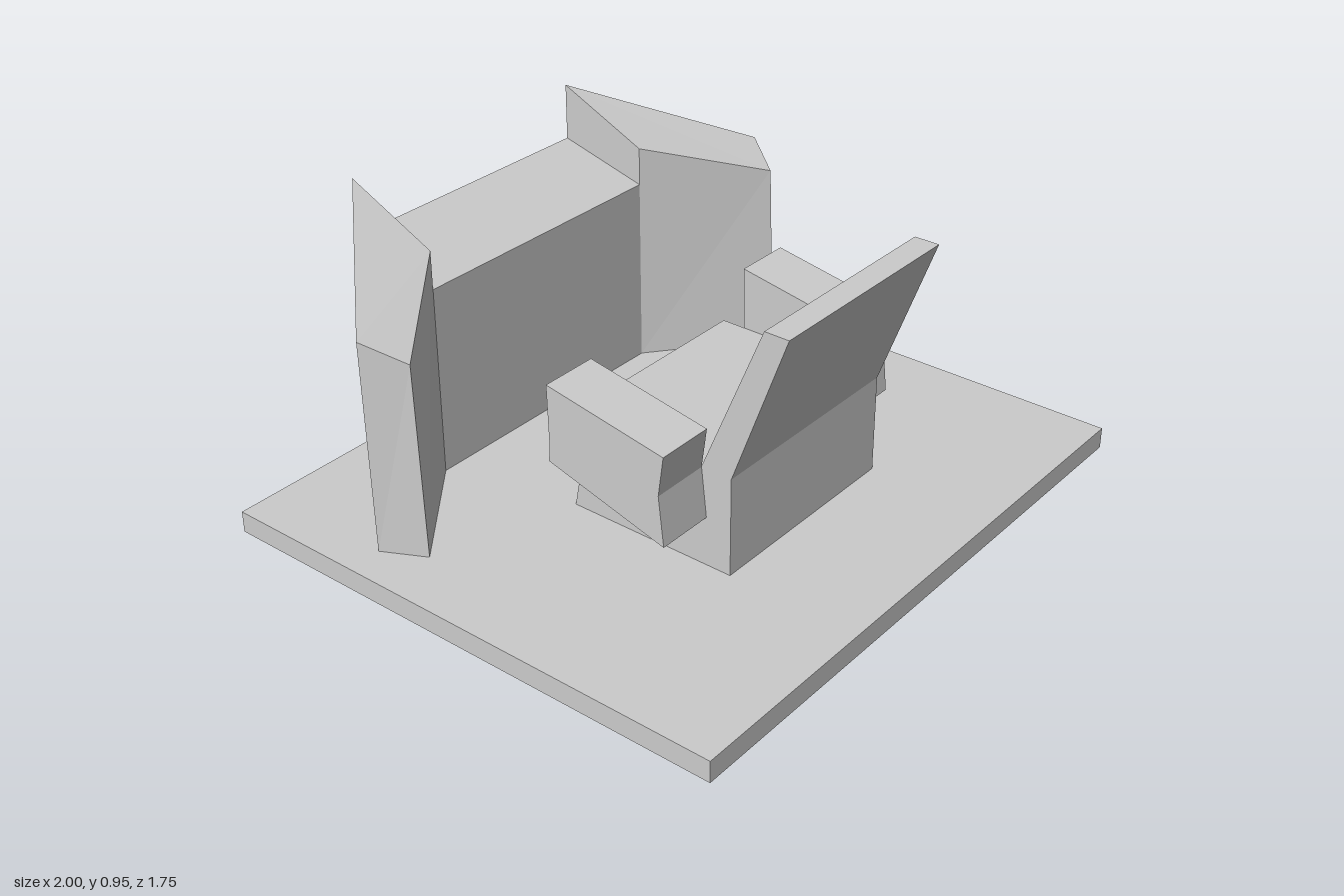
import * as THREE from 'three';

const grey = new THREE.MeshStandardMaterial({ color: 0xcccccc, flatShading: true });
const greyThin = new THREE.MeshStandardMaterial({ color: 0xcccccc, flatShading: true, side: THREE.DoubleSide });

function named(name, geometry, material = grey) {
  const mesh = new THREE.Mesh(geometry, material);
  mesh.name = name;
  return mesh;
}

// Side outline given as [z, y] points
const sideShape = (profile) => new THREE.Shape(profile.map(([z, y]) => new THREE.Vector2(-z, y)));

// Side outline extruded along x from x0 to x1
function extrudeX(profile, x0, x1) {
  const geo = new THREE.ExtrudeGeometry(sideShape(profile), { depth: x1 - x0, bevelEnabled: false });
  return geo.rotateY(Math.PI / 2).translate(x0, 0, 0);
}

function fromTriangles(points) {
  const geo = new THREE.BufferGeometry();
  geo.setAttribute('position', new THREE.Float32BufferAttribute(points.flat(), 3));
  geo.computeVertexNormals();
  return geo;
}

// Six-sided block between a bottom and a top ring of four corners
function block(bottom, top) {
  const tris = [];
  const quad = (a, b, c, d) => tris.push(a, b, c, a, c, d);
  for (let i = 0; i < 4; i++) {
    const j = (i + 1) % 4;
    quad(bottom[i], bottom[j], top[j], top[i]);
  }
  quad(...top);
  quad(...[...bottom].reverse());
  return fromTriangles(tris);
}

export function createModel() {
  const model = new THREE.Group();
  model.name = 'chairWithScreen';
  const floor = 0.07, half = 0.355;

  // Base plate with an opening under the hollow chair
  const plate = new THREE.Shape([[-1, -0.875], [1, -0.875], [1, 0.875], [-1, 0.875]].map((p) => new THREE.Vector2(...p)));
  plate.holes.push(new THREE.Path([[-half, -0.44], [-half, 0.135], [half, 0.135], [half, -0.44]].map((p) => new THREE.Vector2(...p))));
  model.add(named('basePlate', new THREE.ExtrudeGeometry(plate, { depth: floor, bevelEnabled: false }).rotateX(-Math.PI / 2)));

  // Chair shell, open underneath; the crease of seat and back bows at the middle
  const chair = new THREE.Group();
  chair.name = 'chair';
  const profile = [[0.44, floor], [0.44, 0.39], [0.62, 0.885], [0.54, 0.885],
    [0.335, 0.388], [-0.135, 0.388], [-0.105, 0.23], [-0.135, floor]];
  const crease = 4;
  const tris = [];
  const corner = (x, i) => [x, profile[i][1], profile[i][0] + (x === 0 && i === crease ? 0.018 : 0)];
  for (const [x0, x1] of [[-half, 0], [0, half]]) {
    for (let i = 0; i < profile.length - 1; i++) {
      const a = corner(x0, i), b = corner(x1, i), c = corner(x1, i + 1), d = corner(x0, i + 1);
      tris.push(a, b, c, a, c, d);
    }
  }
  chair.add(named('seatAndBack', fromTriangles(tris), greyThin));

  // Chair sides and armrests
  const armProfile = [[0.355, 0.52], [0.337, 0.39], [0.355, 0.23], [-0.06, 0.345], [-0.055, 0.388], [-0.06, 0.592]];
  for (const [side, s] of [['left', 1], ['right', -1]]) {
    const panel = new THREE.ShapeGeometry(sideShape(profile)).rotateY(Math.PI / 2).translate(s * half, 0, 0);
    chair.add(named(side + 'ChairSide', panel, greyThin));
    const [x0, x1] = s > 0 ? [half, 0.543] : [-0.543, -half];
    chair.add(named(side + 'Armrest', extrudeX(armProfile, x0, x1)));
  }
  model.add(chair);

  // Screen: middle panel and two taller angled wings
  const screen = new THREE.Group();
  screen.name = 'screen';
  const middle = [[-0.872, floor], [-0.872, 0.77], [-0.565, 0.69], [-0.565, floor]];
  screen.add(named('middlePanel', extrudeX(middle, -0.465, 0.465)));
  const wingBottom = [[0.465, floor, -0.872], [0.465, floor, -0.565], [0.818, floor, -0.28], [0.888, floor, -0.415]];
  const wingTop = [[0.465, 0.955, -0.872], [0.465, 0.815, -0.565], [0.815, 0.69, -0.302], [0.89, 0.75, -0.425]];
  const mirror = (ring) => ring.map(([x, y, z]) => [-x, y, z]).reverse();
  screen.add(named('leftWing', block(wingBottom, wingTop)));
  screen.add(named('rightWing', block(mirror(wingBottom), mirror(wingTop))));
  model.add(screen);

  return model;
}
